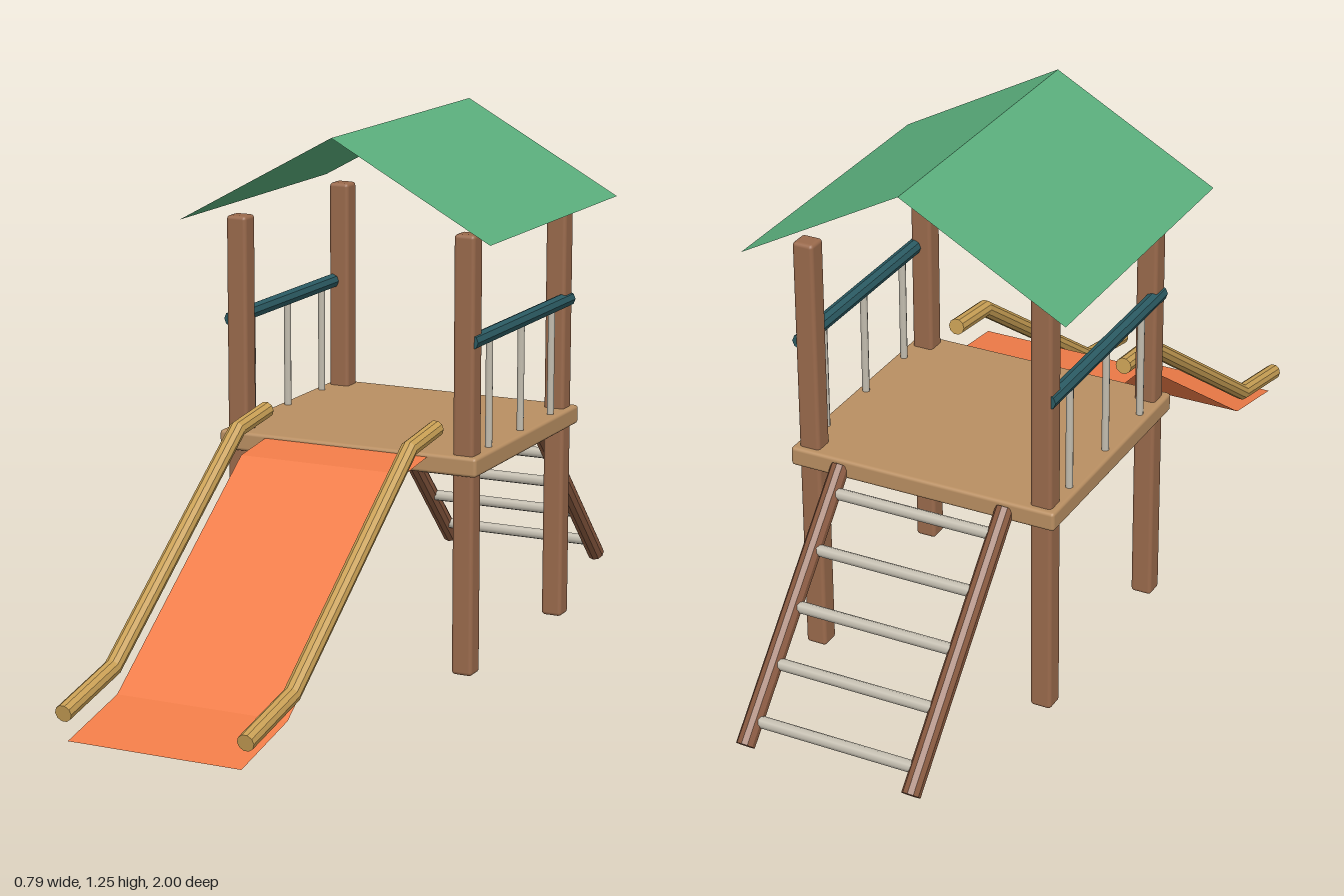
import * as THREE from 'three';
import { RoundedBoxGeometry } from 'three/addons/geometries/RoundedBoxGeometry.js';

const V = (x, y, z) => new THREE.Vector3(x, y, z);
const mat = (color, extra = {}) => new THREE.MeshStandardMaterial({ color, ...extra });

export function createModel() {
  const model = new THREE.Group();
  model.name = 'playTower';
  const postWood = mat(0x9a6a4c);
  const ladderWood = mat(0x8a5a40, { flatShading: true });
  const deckWood = mat(0xb98f62);
  const slideWood = mat(0xc9a055, { flatShading: true });
  const teal = mat(0x2b5a62, { flatShading: true });
  const metal = mat(0xc4beb0);
  const orange = mat(0xf07c48, { side: THREE.DoubleSide, flatShading: true });
  const green = mat(0x5aae7c, { side: THREE.DoubleSide, flatShading: true });

  function add(name, geometry, material) {
    const mesh = new THREE.Mesh(geometry, material);
    mesh.name = name;
    model.add(mesh);
    return mesh;
  }

  // Chamfered box centred on a point
  function box(name, w, h, d, x, y, z, bevel, material) {
    add(name, new RoundedBoxGeometry(w, h, d, 2, bevel), material).position.set(x, y, z);
  }

  // Straight round bar between two points
  function bar(name, a, b, radius, sides, material) {
    const dir = b.clone().sub(a);
    const mesh = add(name, new THREE.CylinderGeometry(radius, radius, dir.length(), sides), material);
    mesh.position.copy(a).add(b).multiplyScalar(0.5);
    mesh.quaternion.setFromUnitVectors(V(0, 1, 0), dir.normalize());
  }

  // Thin folded sheet: a profile carried along a straight line
  function sheet(name, profile, shift, material) {
    const pos = [], idx = [];
    profile.forEach((p, i) => {
      pos.push(...p.toArray(), ...p.clone().add(shift).toArray());
      const k = 2 * i;
      if (i) idx.push(k - 2, k - 1, k + 1, k - 2, k + 1, k);
    });
    const g = new THREE.BufferGeometry();
    g.setAttribute('position', new THREE.Float32BufferAttribute(pos, 3));
    g.setIndex(idx);
    const flat = g.toNonIndexed();
    flat.computeVertexNormals();
    add(name, flat, material);
  }

  // Round bar with mitred bends, its path lying in a plane of constant x
  function bentBar(name, path, radius, sides, material) {
    const pos = [], idx = [], last = path.length - 1;
    path.forEach((p, i) => {
      const d0 = path[Math.max(i, 1)].clone().sub(path[Math.max(i, 1) - 1]).normalize();
      const d1 = path[Math.min(i, last - 1) + 1].clone().sub(path[Math.min(i, last - 1)]).normalize();
      const t = d0.clone().add(d1).normalize();
      const normal = V(0, t.z, -t.y).multiplyScalar(1 / t.dot(d0));
      for (let s = 0; s < sides; s++) {
        const a = (s / sides) * Math.PI * 2;
        const q = p.clone().addScaledVector(normal, radius * Math.sin(a));
        pos.push(q.x + radius * Math.cos(a), q.y, q.z);
        const n = (s + 1) % sides, k = i * sides;
        if (i < last) idx.push(k + s, k + n, k + sides + n, k + s, k + sides + n, k + sides + s);
      }
    });
    for (let s = 1; s < sides - 1; s++) {
      const k = last * sides;
      idx.push(0, s + 1, s, k, k + s, k + s + 1);
    }
    const g = new THREE.BufferGeometry();
    g.setAttribute('position', new THREE.Float32BufferAttribute(pos, 3));
    g.setIndex(idx);
    const flat = g.toNonIndexed();
    flat.computeVertexNormals();
    add(name, flat, material);
  }

  // Deck
  box('platform', 0.664, 0.046, 0.62, 0, 0.504, -0.23, 0.008, deckWood);

  // Folded gable roof
  sheet('roof', [V(-0.394, 1.037, -0.613), V(0, 1.253, -0.613), V(0.394, 1.037, -0.613)],
    V(0, 0, 0.763), green);

  // Slide bed and the path its side rails follow
  const slidePath = [[0.582, 0.055], [0.565, 0.2], [0.155, 0.785], [0.112, 0.996]];
  sheet('slideBed', slidePath.map(([y, z]) => V(-0.21, y - 0.06, z)), V(0.42, 0, 0), orange);

  const ladderTop = [0.505, -0.53], ladderFoot = [0.025, -0.982];
  for (const [side, s] of [['left', 1], ['right', -1]]) {
    // Posts
    box(side + 'FrontPost', 0.052, 1.04, 0.05, s * 0.292, 0.52, 0.04, 0.009, postWood);
    box(side + 'BackPost', 0.052, 1.04, 0.05, s * 0.292, 0.52, -0.5, 0.009, postWood);

    // Guard rail with balusters
    bar(side + 'GuardRail', V(s * 0.309, 0.793, 0.06), V(s * 0.309, 0.793, -0.522), 0.018, 8, teal);
    for (const z of [-0.045, -0.23, -0.415])
      bar(side + 'Baluster', V(s * 0.309, 0.52, z), V(s * 0.309, 0.79, z), 0.009, 8, metal);

    // Slide rail
    bentBar(side + 'SlideRail', slidePath.map(([y, z]) => V(s * 0.22, y, z)), 0.02, 10, slideWood);

    // Ladder stringer
    bar(side + 'LadderStringer', V(s * 0.208, ...ladderTop), V(s * 0.208, ...ladderFoot), 0.022, 10, ladderWood);
  }

  // Ladder rungs
  for (let i = 0; i < 5; i++) {
    const z = -0.573 - i * 0.092;
    const t = (z - ladderTop[1]) / (ladderFoot[1] - ladderTop[1]);
    const y = THREE.MathUtils.lerp(ladderTop[0], ladderFoot[0], t);
    bar('ladderRung', V(-0.205, y, z), V(0.205, y, z), 0.014, 8, metal);
  }

  return model;
}
